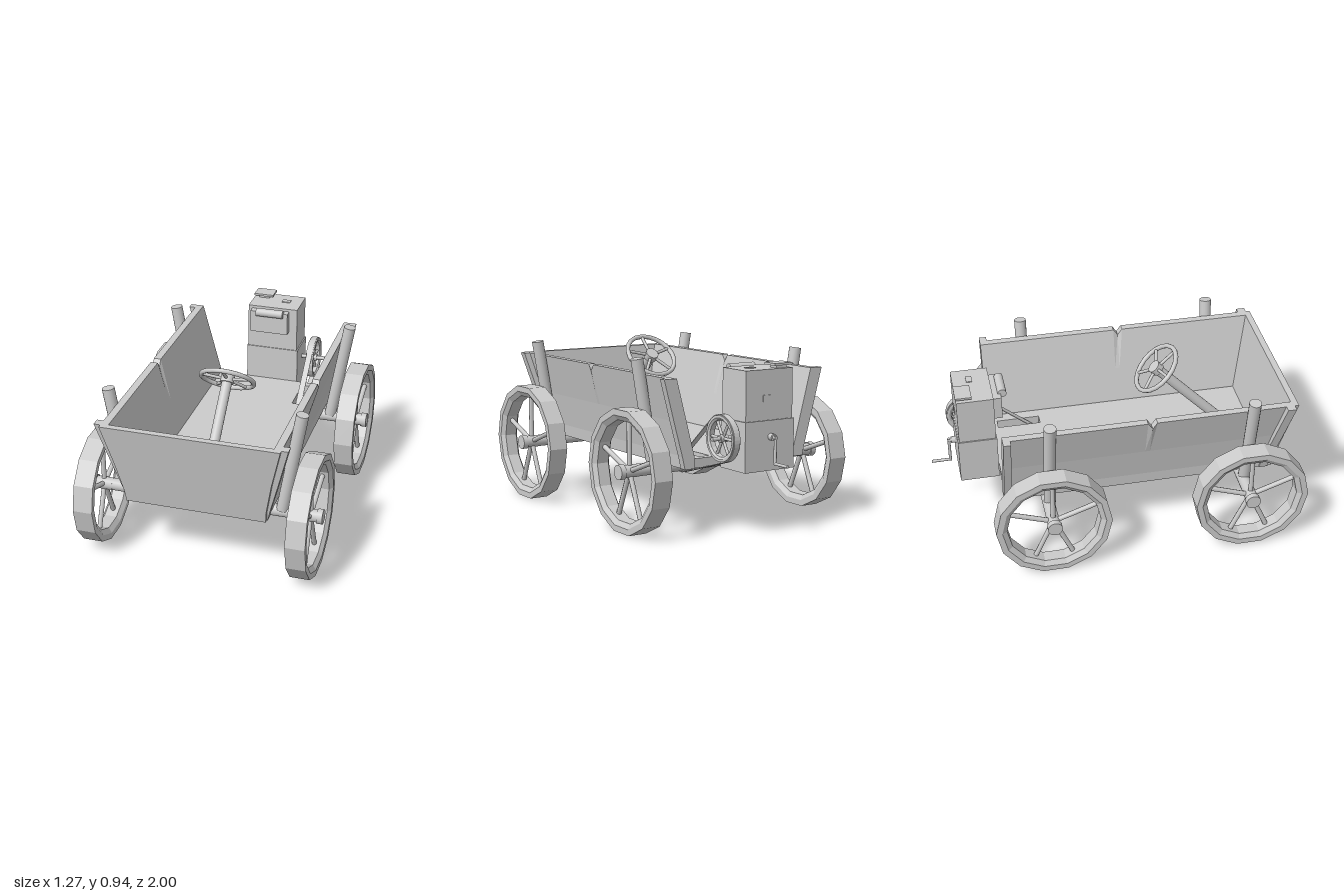
import * as THREE from 'three';

const flat = new THREE.MeshStandardMaterial({ color: 0xcccccc, flatShading: true, side: THREE.DoubleSide });
const smooth = new THREE.MeshStandardMaterial({ color: 0xcccccc });
const V = (x, y, z) => new THREE.Vector3(x, y, z);
const AXLE_Y = 0.331, TOP = 0.825, BASE = 0.355;

export function createModel() {
  const root = new THREE.Group();

  const add = (name, geometry, material = flat, parent = root) => {
    const mesh = new THREE.Mesh(geometry, material);
    mesh.name = name;
    parent.add(mesh);
    return mesh;
  };
  const box = (name, x0, x1, y0, y1, z0, z1) =>
    add(name, new THREE.BoxGeometry(x1 - x0, y1 - y0, z1 - z0))
      .position.set((x0 + x1) / 2, (y0 + y1) / 2, (z0 + z1) / 2);
  // Round bar from a to b
  const rod = (name, a, b, r, sides = 16, parent = root) => {
    const m = add(name, new THREE.CylinderGeometry(r, r, a.distanceTo(b), sides), smooth, parent);
    m.position.copy(a).lerp(b, 0.5);
    m.quaternion.setFromUnitVectors(V(0, 1, 0), b.clone().sub(a).normalize());
    return m;
  };
  // Cross-section run through z stations; rule(v, i) then reshapes each vertex
  const run = (name, points, stations, rule) => {
    const shape = new THREE.Shape(points.map(p => new THREE.Vector2(...p)));
    const n = stations.length - 1;
    const g = new THREE.ExtrudeGeometry(shape, { depth: n, steps: n, bevelEnabled: false });
    const pos = g.attributes.position, v = V(0, 0, 0);
    for (let k = 0; k < pos.count; k++) {
      v.fromBufferAttribute(pos, k);
      const i = Math.round(v.z);
      v.z = stations[i];
      if (rule) rule(v, i);
      pos.setXYZ(k, v.x, v.y, v.z);
    }
    g.computeVertexNormals();
    return add(name, g);
  };
  const lean = v => { v.z += (v.y - TOP) * 0.2; };

  // Floor with a slot for the belt
  const plan = new THREE.Shape([[-0.37, -0.82], [0.37, -0.82], [0.37, 0.64], [-0.37, 0.64]]
    .map(p => new THREE.Vector2(...p)));
  plan.holes.push(new THREE.Path([[0.2, 0.36], [0.2, 0.6], [0.26, 0.6], [0.26, 0.36]]
    .map(p => new THREE.Vector2(...p))));
  const floor = add('floor', new THREE.ExtrudeGeometry(plan, { depth: 0.05, bevelEnabled: false }));
  floor.rotation.x = -Math.PI / 2;
  floor.position.y = BASE;

  // Flared side walls with a rim notch, and raised strips at both ends
  const outer = [[0.375, BASE], [0.38, 0.42], [0.415, 0.6], [0.47, TOP]];
  const strip = [[0.38, BASE], [0.395, 0.42], [0.445, 0.6], [0.505, TOP]];
  const inner = [[0.43, TOP], [0.37, 0.6], [0.32, 0.41], [0.32, BASE]];
  for (const s of [-1, 1]) {
    const side = s > 0 ? 'left' : 'right';
    const mirror = pts => pts.map(([x, y]) => [s * x, y]);
    run(side + 'Wall', mirror([...outer, ...inner]), [-0.64, 0.115, 0.14, 0.165, 0.93], (v, i) => {
      if (i === 2 && v.y > 0.8) v.y -= 0.035;
      if (i === 4) lean(v);
    });
    run(side + 'FrontStrip', mirror([...strip, ...inner]), [0.865, 0.912], lean);
    run(side + 'RearStrip', mirror([...strip, ...inner]), [-0.65, -0.61]);
  }

  // Leaning front panel
  run('frontPanel', [...outer, ...outer.map(([x, y]) => [-x, y]).reverse()], [0.9, 0.935], lean);

  // Spoked wheel turning about x
  const wheel = (name, R, width, thick, hub, angles, sides) => {
    const group = new THREE.Group();
    group.name = name;
    const w = width / 2, m = R - thick * 0.55, r = R - thick;
    const profile = [[R, -w], [R, w], [m, w], [r, w * 0.65], [r, -w * 0.65], [m, -w], [R, -w]];
    const rim = add('rim', new THREE.LatheGeometry(profile.map(p => new THREE.Vector2(...p)), sides), flat, group);
    rim.rotation.z = Math.PI / 2;
    for (const a of angles) {
      const t = THREE.MathUtils.degToRad(a);
      rod('spoke', V(0, 0, 0), V(0, Math.sin(t) * (r + 0.01), Math.cos(t) * (r + 0.01)), hub * 0.4, 8, group);
    }
    rod('hub', V(-w, 0, 0), V(w, 0, 0), hub, 16, group);
    root.add(group);
    return group;
  };

  // Axles, wheels and wall posts
  for (const [end, z] of [['front', 0.67], ['rear', -0.415]]) {
    rod(end + 'Axle', V(-0.61, AXLE_Y, z), V(0.61, AXLE_Y, z), 0.033);
    for (const s of [-1, 1]) {
      const w = wheel(end + 'Wheel', s > 0 ? 0.33 : 0.312, 0.105, 0.06, 0.034, [20, 90, 160, 246, 294], 14);
      w.position.set(s * 0.567, AXLE_Y, z);
      rod(end + 'HubCap', V(s * 0.605, AXLE_Y, z), V(s * 0.636, AXLE_Y, z), 0.04);
      rod(end + 'Post', V(s * 0.42, 0.345, z + 0.006), V(s * 0.515, 0.91, z + 0.006), 0.033);
    }
  }

  // Steering column and wheel
  const up = V(0, 0.72, -0.69).normalize(), centre = V(0, 0.835, 0.265);
  rod('steeringColumn', centre, centre.clone().addScaledVector(up, -0.61), 0.028);
  const steering = new THREE.Group();
  steering.name = 'steeringWheel';
  steering.position.copy(centre);
  steering.quaternion.setFromUnitVectors(V(0, 1, 0), up);
  const ring = add('steeringRim', new THREE.TorusGeometry(0.144, 0.013, 8, 20), smooth, steering);
  ring.rotation.x = Math.PI / 2;
  for (let i = 0; i < 5; i++) {
    const t = i * Math.PI * 0.4 + Math.PI / 2;
    rod('steeringSpoke', V(0, 0, 0), V(Math.cos(t) * 0.14, 0, Math.sin(t) * 0.14), 0.009, 8, steering);
  }
  rod('steeringHub', V(0, -0.02, 0), V(0, 0.02, 0), 0.037, 16, steering);
  root.add(steering);

  // Engine housing with cap, front block and base plate
  box('engineLower', -0.155, 0.155, 0.345, 0.605, -0.857, -0.645);
  box('engineUpper', -0.148, 0.148, 0.605, 0.865, -0.85, -0.65);
  box('enginePlate', -0.1, 0.1, 0.34, 0.36, -0.66, -0.52);
  box('fuelCapNeck', -0.12, -0.055, 0.865, 0.88, -0.835, -0.78);
  box('fuelCap', -0.145, -0.03, 0.88, 0.892, -0.853, -0.765);
  box('topHatch', 0.03, 0.08, 0.862, 0.87, -0.775, -0.742);
  box('rearVent', -0.02, 0.04, 0.7, 0.735, -0.855, -0.84);
  box('frontBlock', -0.125, 0.1, 0.72, 0.85, -0.66, -0.605);
  rod('frontPipe', V(-0.085, 0.85, -0.597), V(0.075, 0.85, -0.597), 0.024);

  // Hand crank
  rod('crankBoss', V(-0.005, 0.52, -0.85), V(-0.005, 0.52, -0.885), 0.018);
  rod('crankShaft', V(-0.005, 0.52, -0.85), V(-0.005, 0.52, -0.905), 0.01);
  rod('crankArm', V(-0.005, 0.53, -0.897), V(-0.005, 0.38, -0.897), 0.008);
  rod('crankHandle', V(-0.005, 0.385, -0.89), V(-0.005, 0.385, -1), 0.008);

  // Flywheel, axle pulley and drive belt
  const fly = [-0.765, 0.52];
  wheel('flywheel', 0.12, 0.045, 0.025, 0.02, [0, 60, 120, 180, 240, 300], 20).position.set(0.227, fly[1], fly[0]);
  rod('flywheelShaft', V(0.14, fly[1], fly[0]), V(0.295, fly[1], fly[0]), 0.011);
  rod('axlePulley', V(0.2, AXLE_Y, -0.415), V(0.256, AXLE_Y, -0.415), 0.037);
  const dx = -fly[0] - 0.415, dy = fly[1] - AXLE_Y, rA = 0.037, rB = 0.12;
  const t = Math.atan2(dy, dx), a = Math.acos((rA - rB) / Math.hypot(dx, dy));
  const loop = (path, grow) => path
    .absarc(-fly[0], fly[1], rB + grow, t - a, t + a, false)
    .absarc(0.415, AXLE_Y, rA + grow, t + a, t - a + Math.PI * 2, false)
    .closePath();
  const beltShape = loop(new THREE.Shape(), 0.004);
  beltShape.holes.push(loop(new THREE.Path(), 0));
  const belt = add('driveBelt', new THREE.ExtrudeGeometry(beltShape, { depth: 0.034, bevelEnabled: false }));
  belt.rotation.y = Math.PI / 2;
  belt.position.x = 0.21;

  return root;
}
